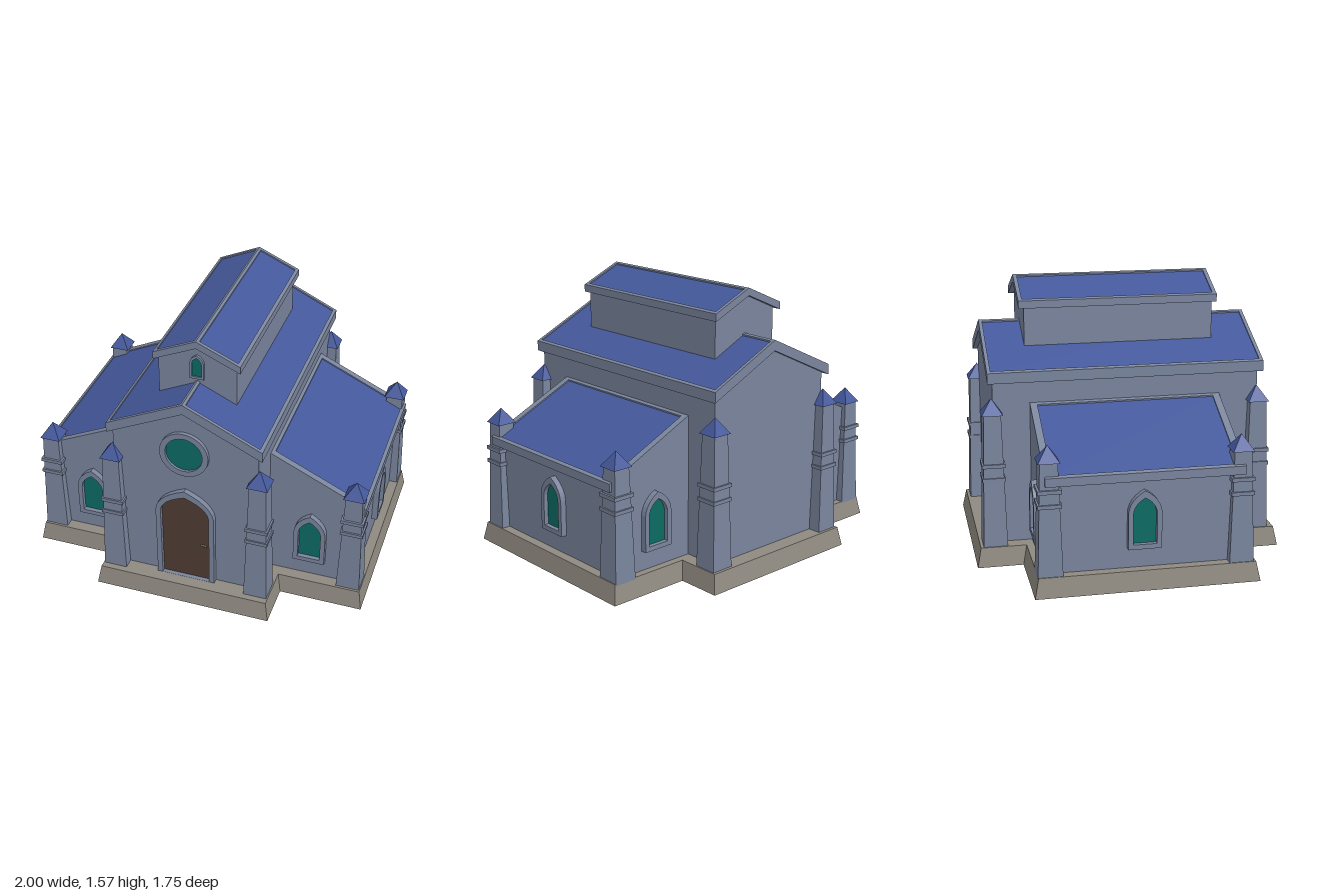
import * as THREE from 'three';

const mat = (name, color, extra = {}) => Object.assign(new THREE.MeshStandardMaterial({ color, ...extra }), { name });

export function createModel() {
  const stone = mat('wall stone', 0x7a859d);
  const slate = mat('blue roof', 0x44589b);
  const base = mat('plinth stone', 0x8f8a81);
  const glass = mat('green glass', 0x0d6b64);
  const wood = mat('door wood', 0x4f3c34);
  const metal = mat('door handle', 0x8a7a68);

  const model = new THREE.Group();
  model.name = 'church';

  const add = (parent, name, geometry, material) => {
    const mesh = new THREE.Mesh(geometry, material);
    mesh.name = name;
    parent.add(mesh);
    return mesh;
  };
  const faceted = (g) => {
    const flat = g.index ? g.toNonIndexed() : g;
    flat.computeVertexNormals();
    return flat;
  };
  const polygon = (pts) => new THREE.Shape(pts.map(([x, y]) => new THREE.Vector2(x, y)));
  const extrude = (shape, depth) =>
    new THREE.ExtrudeGeometry(shape, { depth, bevelEnabled: false, curveSegments: 6 });
  // Profile in x/y carried from z0 to z1
  const prism = (parent, name, pts, z0, z1, material) =>
    add(parent, name, extrude(polygon(pts), z1 - z0).translate(0, 0, z0), material);

  // Cross-shaped plinth, its top drawn in slightly
  const cross = [];
  const corners = [[1, 0.62], [0.52, 0.62], [0.52, 0.877]];
  for (const [sx, sz] of [[1, 1], [-1, 1], [-1, -1], [1, -1]]) {
    const run = corners.map(([x, z]) => [sx * x, sz * z]);
    cross.push(...(sx * sz > 0 ? run : run.reverse()));
  }
  const plinth = extrude(polygon(cross), 0.11).rotateX(-Math.PI / 2);
  const p = plinth.attributes.position;
  for (let i = 0; i < p.count; i++) {
    if (p.getY(i) < 0.05) continue;
    p.setX(i, p.getX(i) - Math.sign(p.getX(i)) * 0.02);
    p.setZ(i, p.getZ(i) - Math.sign(p.getZ(i)) * 0.022);
  }
  add(model, 'plinth', faceted(plinth), base);

  // One roof slope: slab, sunken slate panel and raised rim; s picks the side
  function roofSlope(name, s, o) {
    const group = new THREE.Group();
    group.name = name;
    const y = (x) => o.y0 - o.slope * (x - o.x0);
    const strip = (a, b, lo, hi) =>
      [[a, y(a) + lo], [b, y(b) + lo], [b, y(b) + hi], [a, y(a) + hi]].map(([px, py]) => [s * px, py]);
    const d = 0.012;
    const inA = o.x0 + o.ridge, inB = o.x1 - o.rim;
    prism(group, 'slab', strip(o.x0, o.x1, -o.t, -d), o.z0, o.z1, stone);
    prism(group, 'slatePanel', strip(inA, inB, -d, -d + 0.004), o.z0 + o.end, o.z1 - o.end, slate);
    prism(group, 'eaveRim', strip(inB, o.x1, -d, 0), o.z0, o.z1, stone);
    prism(group, 'upperRim', strip(o.x0, inA, -d, 0), o.z0, o.z1, stone);
    prism(group, 'backRim', strip(inA, inB, -d, 0), o.z0, o.z0 + o.end, stone);
    prism(group, 'frontRim', strip(inA, inB, -d, 0), o.z1 - o.end, o.z1, stone);
    model.add(group);
  }

  // Gabled bodies: nave and the raised lantern on its ridge
  const gable = (name, w, y0, apex, slope, z0, z1) =>
    prism(model, name, [[-w, y0], [w, y0], [w, apex - w * slope], [0, apex], [-w, apex - w * slope]], z0, z1, stone);
  gable('naveWalls', 0.418, 0.1, 1.251, 0.473, -0.762, 0.755);
  gable('lanternWalls', 0.223, 1.1, 1.524, 0.445, -0.555, 0.533);

  for (const s of [1, -1]) {
    roofSlope('naveRoof', s, { x0: 0, y0: 1.31, x1: 0.445, slope: 0.473, t: 0.06, z0: -0.79, z1: 0.782, rim: 0.018, ridge: 0.014, end: 0.02 });
    roofSlope('lanternRoof', s, { x0: 0, y0: 1.566, x1: 0.248, slope: 0.445, t: 0.043, z0: -0.587, z1: 0.555, rim: 0.018, ridge: 0.014, end: 0.022 });
    roofSlope('wingRoof', s, { x0: 0.41, y0: 0.921, x1: 0.97, slope: 0.47, t: 0.048, z0: -0.555, z1: 0.53, rim: 0.02, ridge: 0.025, end: 0.04 });
    // Wing walls under the lean-to roof
    const top = (x) => 0.874 - 0.47 * (x - 0.41);
    prism(model, 'wingWalls', [[s * 0.41, 0.1], [s * 0.925, 0.1], [s * 0.925, top(0.925)], [s * 0.41, top(0.41)]], -0.555, 0.53, stone);
  }

  // Tapered square pillar with two bands and a pyramid cap
  const block = (rTop, rBottom, y0, y1) =>
    faceted(new THREE.CylinderGeometry(rTop * Math.SQRT2, rBottom * Math.SQRT2, y1 - y0, 4)
      .rotateY(Math.PI / 4).translate(0, (y0 + y1) / 2, 0));
  function pillar(name, x, z, height) {
    const g = new THREE.Group();
    g.name = name;
    g.position.set(x, 0, z);
    add(g, 'shaft', block(0.048, 0.068, 0.1, height), stone);
    for (const y of [0.49, 0.57]) add(g, 'band', block(0.065, 0.065, y, y + 0.021), stone);
    const cap = faceted(new THREE.ConeGeometry(0.06 * Math.SQRT2, 0.087, 4)
      .rotateY(Math.PI / 4).translate(0, height + 0.0435, 0));
    add(g, 'cap', cap, slate);
    model.add(g);
  }
  for (const s of [1, -1]) {
    for (const z of [0.75, -0.77]) pillar('navePillar', s * 0.425, z, 0.868);
    for (const z of [0.517, -0.532]) pillar('wingPillar', s * 0.907, z, 0.735);
  }

  // Pointed arch outline
  function arch(w, y0, spring, apex, Type = THREE.Shape) {
    const a = new Type();
    const h = apex - spring;
    a.moveTo(-w, y0);
    a.lineTo(w, y0);
    a.lineTo(w, spring);
    a.quadraticCurveTo(w * 0.92, spring + h * 0.63, 0, apex);
    a.quadraticCurveTo(-w * 0.92, spring + h * 0.63, -w, spring);
    a.closePath();
    return a;
  }
  // Framed opening: outer and inner are [halfWidth, bottom, spring, apex]
  function opening(name, outer, inner, depth, filling, x, z, turn) {
    const g = new THREE.Group();
    g.name = name;
    const frame = arch(...outer);
    frame.holes.push(arch(...inner, THREE.Path));
    add(g, 'frame', extrude(frame, depth), stone);
    add(g, 'panel', extrude(arch(...inner), 0.008), filling);
    g.position.set(x, 0, z);
    g.rotation.y = turn;
    model.add(g);
    return g;
  }
  const winOuter = [0.092, 0.223, 0.43, 0.552];
  const winInner = [0.065, 0.25, 0.425, 0.512];
  for (const s of [1, -1]) {
    opening('frontWindow', winOuter, winInner, 0.034, glass, s * 0.665, 0.53, 0);
    opening('backWindow', winOuter, winInner, 0.034, glass, s * 0.665, -0.555, Math.PI);
    opening('sideWindow', winOuter, winInner, 0.034, glass, s * 0.925, -0.018, s * Math.PI / 2);
  }
  opening('lanternWindow', [0.04, 1.328, 1.425, 1.475], [0.028, 1.342, 1.42, 1.458], 0.015, glass, 0, 0.533, 0);

  // Main door with its handle
  const door = opening('door', [0.172, 0.105, 0.575, 0.735], [0.142, 0.111, 0.575, 0.692], 0.032, wood, 0, 0.755, 0);
  add(door, 'handle', new THREE.BoxGeometry(0.036, 0.007, 0.012).translate(0.104, 0.356, 0.013), metal);

  // Round window over the door
  const rose = new THREE.Group();
  rose.name = 'roundWindow';
  rose.position.set(0, 0.978, 0.755);
  const ring = new THREE.Shape().absarc(0, 0, 0.14, 0, Math.PI * 2);
  ring.holes.push(new THREE.Path().absarc(0, 0, 0.107, 0, Math.PI * 2, true));
  add(rose, 'ring', new THREE.ExtrudeGeometry(ring, { depth: 0.022, bevelEnabled: false, curveSegments: 24 }), stone);
  add(rose, 'pane', new THREE.CircleGeometry(0.11, 24).translate(0, 0, 0.007), glass);
  model.add(rose);

  return model;
}
